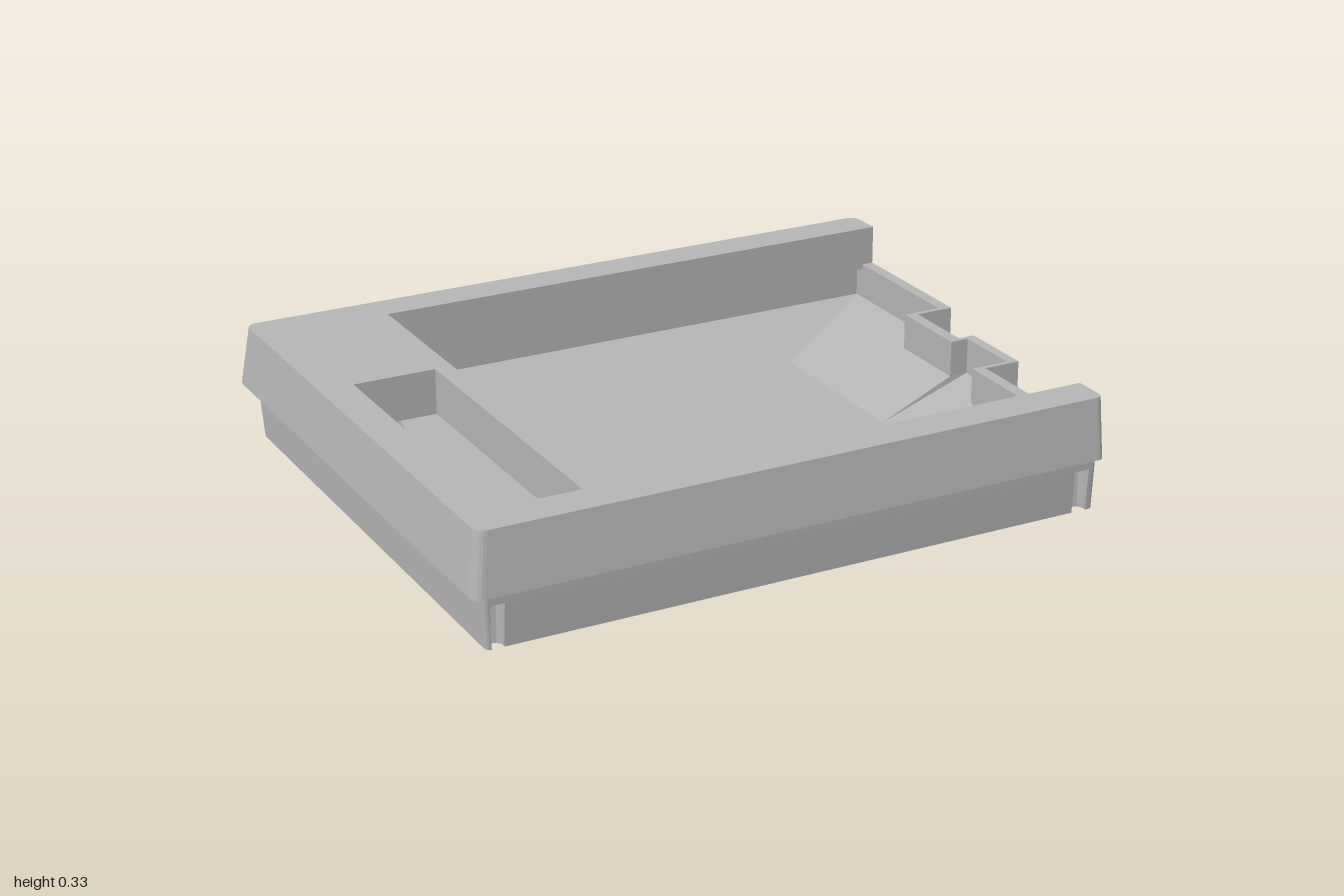
import * as THREE from 'three';

const casing = new THREE.MeshStandardMaterial({ color: 0xb4b4b4, side: THREE.DoubleSide });
casing.name = 'casing grey';

// Points are [x, z]; a slab is an outline raised from y0 to y1, with an optional draft rule
function slab(name, outline, y0, y1, holes = [], draft = null) {
  const flip = pts => pts.map(([x, z]) => new THREE.Vector2(x, -z));
  const shape = new THREE.Shape(flip(outline));
  holes.forEach(h => shape.holes.push(new THREE.Path(flip(h))));
  const geo = new THREE.ExtrudeGeometry(shape, { depth: y1 - y0, bevelEnabled: false });
  geo.rotateX(-Math.PI / 2).translate(0, y0, 0);
  if (draft) {
    const p = geo.attributes.position;
    for (let i = 0; i < p.count; i++) {
      const x = p.getX(i), z = p.getZ(i), d = draft.amount(p.getY(i));
      if (x < -draft.x) p.setX(i, x + d);
      if (Math.abs(z) > draft.z) p.setZ(i, z - Math.sign(z) * d);
    }
    geo.computeVertexNormals();
  }
  const mesh = new THREE.Mesh(geo, casing);
  mesh.name = name;
  return mesh;
}

// Quarter-round corner, turning a quarter back from the start angle (degrees)
function corner(cx, cz, r, start) {
  return Array.from({ length: 6 }, (_, i) => {
    const a = (start - i * 18) * Math.PI / 180;
    return [cx + r * Math.cos(a), cz + r * Math.sin(a)];
  });
}

// Screw groove cut into the front (side 1) or back (side -1) wall
function groove(x, side) {
  const w = 0.022 * side;
  return [[-w, 0.765], [-w, 0.74], [-w * 0.6, 0.728], [0, 0.724], [w * 0.6, 0.728], [w, 0.74], [w, 0.765]]
    .map(([dx, z]) => [x + dx, z * side]);
}

// Stepped right-hand edge, outside and inside, listed from front to back
const stepOuter = [[0.825, 0.225], [0.935, 0.225], [0.935, -0.005], [0.885, -0.005], [0.885, -0.225], [1, -0.225]];
const stepInner = [[0.79, 0.21], [0.905, 0.21], [0.905, 0.01], [0.85, 0.01], [0.85, -0.24], [0.965, -0.24]];
const inner = [[-0.92, -0.7], [-0.92, 0.7], [0.79, 0.7], ...stepInner, [0.965, -0.7]];

function bodyOutline(grooves) {
  const g = (x, s) => (grooves ? groove(x, s) : []);
  return [
    ...g(-0.924, -1), ...corner(-0.948, -0.753, 0.012, -90), ...corner(-0.948, 0.753, 0.012, 180),
    ...g(-0.924, 1), ...g(0.78, 1), ...corner(0.813, 0.753, 0.012, 90),
    ...stepOuter, ...corner(0.988, -0.753, 0.012, 0), ...g(0.96, -1), ...g(0.04, -1),
  ];
}

// Sloping sides of the tray, from the rim down to the floor
function slopes() {
  const top = 0.11, low = 0.015;
  const rim = [[-0.61, -0.7], [0.965, -0.7], ...stepInner.slice().reverse(), [0.79, 0.7], [-0.92, 0.7], [-0.92, -0.51]];
  const foot = [[-0.61, -0.51], [0.62, -0.51], [0.62, -0.25], [0.62, -0.22], [0.62, 0], [0.62, 0.02],
    [0.62, 0.19], [0.62, 0.22], [0.62, 0.51], [-0.72, 0.51], [-0.7, -0.51]];
  const pos = [];
  const tri = (...pts) => pts.forEach(([x, z, y]) => pos.push(x, y, z));
  const r = i => [...rim[i], top], f = i => [...foot[i], low];
  for (let i = 0; i < rim.length - 1; i++) {
    tri(r(i), f(i), f(i + 1));
    tri(r(i), f(i + 1), r(i + 1));
  }
  // Ends of the slopes, beside the socket pocket
  const last = rim.length - 1;
  tri(r(0), [-0.61, -0.7, low], f(0));
  tri(r(last), f(last), [-0.92, -0.51, low]);
  const geo = new THREE.BufferGeometry();
  geo.setAttribute('position', new THREE.Float32BufferAttribute(pos, 3));
  geo.computeVertexNormals();
  const mesh = new THREE.Mesh(geo, casing);
  mesh.name = 'traySlopes';
  return mesh;
}

export function createModel() {
  const model = new THREE.Group();
  model.name = 'deviceCasing';

  // Lower tray: walls in layers so the grooves and socket slot stop at their heights
  const tray = new THREE.Group();
  tray.name = 'lowerTray';
  const bodyDraft = { x: 0.945, z: 0.745, amount: y => 0.01 * Math.max(0, 1 - y / 0.16) };
  const slotted = [
    [-0.8, -0.765], ...bodyOutline(true), [-0.64, -0.765], [-0.64, -0.7],
    ...inner.slice().reverse(), [-0.8, -0.7],
  ];
  tray.add(
    slab('lowerWall', bodyOutline(true), 0, 0.06, [inner], bodyDraft),
    slab('socketWall', slotted, 0.06, 0.12, [], bodyDraft),
    slab('upperWall', bodyOutline(false), 0.12, 0.19, [inner], bodyDraft),
    slab('wallLip', [[-0.93, -0.735], [-0.93, 0.735], [0.825, 0.735], ...stepOuter, [1, -0.735]], 0.19, 0.215, [inner]),
  );

  // Floor with four screw holes
  const holes = [];
  for (const x of [-0.57, 0.57]) for (const z of [-0.655, 0.655]) {
    holes.push(Array.from({ length: 16 }, (_, i) => {
      const a = i * Math.PI / 8;
      return [x + 0.028 * Math.cos(a), z + 0.028 * Math.sin(a)];
    }));
  }
  tray.add(slab('floor', inner, 0, 0.015, holes), slopes());
  model.add(tray);

  // Upper frame, open on the right, with a narrow window and an overhanging skirt
  const frame = new THREE.Group();
  frame.name = 'upperFrame';
  const frameDraft = { x: 0.965, z: 0.767, amount: y => 0.022 * (y - 0.16) / 0.17 };
  const rimOuter = [
    ...corner(0.97, -0.77, 0.03, 0), ...corner(-0.97, -0.77, 0.03, -90),
    ...corner(-0.97, 0.77, 0.03, 180), ...corner(0.805, 0.78, 0.02, 90),
  ];
  const window = [[-0.88, -0.225], [-0.645, -0.225], [-0.645, 0.67], [-0.88, 0.67]];
  frame.add(
    slab('topFrame', [...rimOuter, [0.825, 0.67], [-0.595, 0.67], [-0.595, -0.67], [1, -0.67]], 0.2, 0.33, [window], frameDraft),
    slab('skirt', [...rimOuter, [0.825, 0.764], [-0.959, 0.764], [-0.959, -0.764], [1, -0.764]], 0.16, 0.2, [], frameDraft),
  );
  model.add(frame);
  return model;
}
